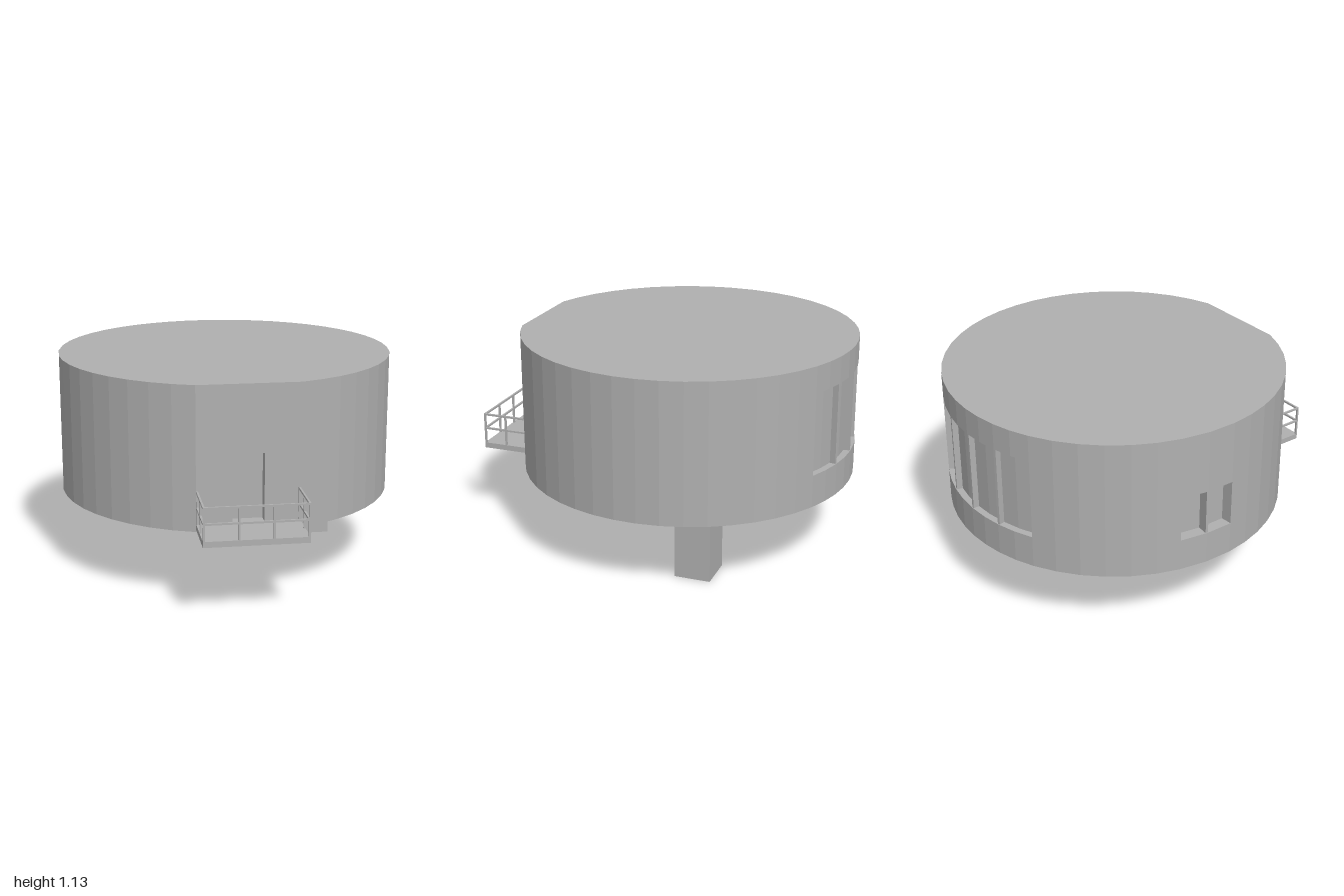
import * as THREE from 'three';

const R = 0.89, CZ = -0.11, Y0 = 0.39, Y1 = 1.13;
const HALF = 0.26, FLAT_Z = CZ + Math.sqrt(R * R - HALF * HALF);

const DOOR = { y0: 0.43, y1: 0.78, depth: 0.06 };
const WIDE = { y0: 0.56, y1: 0.99, depth: 0.035, mullions: [166.5, 180, 193.5] };
const SMALL = { y0: 0.56, y1: 0.8, depth: 0.06, mullions: [264.5] };

// Angle in degrees from the front towards +x
const polar = (deg, r = R) => {
  const a = THREE.MathUtils.degToRad(deg);
  return [r * Math.sin(a), CZ + r * Math.cos(a)];
};

// Flat-shaded mesh from a list of quads and triangles
function facetMesh(name, faces, material) {
  const pos = [];
  for (const f of faces)
    for (let i = 1; i < f.length - 1; i++) pos.push(...f[0], ...f[i], ...f[i + 1]);
  const g = new THREE.BufferGeometry();
  g.setAttribute('position', new THREE.Float32BufferAttribute(pos, 3));
  g.computeVertexNormals();
  const mesh = new THREE.Mesh(g, material);
  mesh.name = name;
  return mesh;
}

function box(parent, name, material, w, h, d, x, y, z, turn = 0) {
  const mesh = new THREE.Mesh(new THREE.BoxGeometry(w, h, d), material);
  mesh.name = name;
  mesh.position.set(x, y, z);
  mesh.rotation.y = turn;
  parent.add(mesh);
}

// Runs of wall: outer points, matching recessed points, optional opening
function arcRun(from, to, n, opening) {
  const outer = [], inner = [];
  for (let i = 0; i <= n; i++) {
    const a = from + ((to - from) * i) / n;
    outer.push(polar(a));
    inner.push(polar(a, R - (opening ? opening.depth : 0)));
  }
  return { outer, inner, opening };
}

function flatRun(x0, x1, opening) {
  const d = opening ? opening.depth : 0;
  return {
    outer: [[x0, FLAT_Z], [x1, FLAT_Z]],
    inner: [[x0, FLAT_Z - d], [x1, FLAT_Z - d]],
    opening,
  };
}

function buildDrum(material) {
  const group = new THREE.Group();
  group.name = 'drum';
  const a0 = THREE.MathUtils.radToDeg(Math.asin(HALF / R));
  const runs = [
    arcRun(a0, 153, 18),
    arcRun(153, 207, 8, WIDE),
    arcRun(207, 255, 6),
    arcRun(255, 274, 2, SMALL),
    arcRun(274, 360 - a0, 9),
    flatRun(-HALF, -0.08),
    flatRun(-0.08, 0.08, DOOR),
    flatRun(0.08, HALF),
  ];
  const wall = [], roof = [], underside = [], door = [], panes = [];
  const at = ([x, z], y) => [x, y, z];
  const upright = (p, q, lo, hi) => [at(p, lo), at(q, lo), at(q, hi), at(p, hi)];

  for (const { outer, inner, opening } of runs) {
    const n = outer.length - 1;
    for (let i = 0; i < n; i++) {
      const p = outer[i], q = outer[i + 1];
      roof.push([[0, Y1, CZ], at(p, Y1), at(q, Y1)]);
      underside.push([[0, Y0, CZ], at(q, Y0), at(p, Y0)]);
      if (!opening) {
        wall.push(upright(p, q, Y0, Y1));
        continue;
      }
      // Wall below and above, sill, head and recessed face
      const { y0, y1 } = opening, pi = inner[i], qi = inner[i + 1];
      wall.push(upright(p, q, Y0, y0), upright(p, q, y1, Y1));
      wall.push([at(p, y0), at(q, y0), at(qi, y0), at(pi, y0)]);
      wall.push([at(pi, y1), at(qi, y1), at(q, y1), at(p, y1)]);
      (opening === DOOR ? door : panes).push(upright(pi, qi, y0, y1));
    }
    if (opening) {
      // Jambs
      wall.push(upright(outer[0], inner[0], opening.y0, opening.y1));
      wall.push(upright(inner[n], outer[n], opening.y0, opening.y1));
    }
  }
  group.add(
    facetMesh('wall', wall, material),
    facetMesh('roof', roof, material),
    facetMesh('underside', underside, material),
    facetMesh('door', door, material),
    facetMesh('windowPanes', panes, material),
  );

  // Window mullions
  for (const { y0, y1, depth, mullions } of [WIDE, SMALL])
    for (const deg of mullions) {
      const [x, z] = polar(deg, R - depth / 2 - 0.004);
      box(group, 'mullion', material, 0.014, y1 - y0, depth, x, (y0 + y1) / 2, z,
        THREE.MathUtils.degToRad(deg));
    }
  return group;
}

function buildBalcony(material) {
  const group = new THREE.Group();
  group.name = 'balcony';
  const depth = 1 - FLAT_Z, midZ = (1 + FLAT_Z) / 2;
  const t = 0.01, ex = HALF - t / 2, ez = 1 - t / 2;
  box(group, 'balconyFloor', material, 2 * HALF, 0.03, depth, 0, 0.415, midZ);

  // Front and side rails
  for (const y of [0.595, 0.515]) {
    box(group, 'frontRail', material, 2 * HALF, t, t, 0, y, ez);
    for (const s of [-1, 1])
      box(group, 'sideRail', material, t, t, depth, s * ex, y, midZ);
  }
  // Posts
  const post = (x, z) => box(group, 'railPost', material, t, 0.17, t, x, 0.515, z);
  for (const x of [-ex, -ex / 3, ex / 3, ex]) post(x, ez);
  for (const s of [-1, 1])
    for (const z of [midZ, FLAT_Z + t / 2]) post(s * ex, z);
  return group;
}

export function createModel() {
  const grey = new THREE.MeshStandardMaterial({ color: 0xb0b0b0 });
  grey.name = 'plain grey';
  const model = new THREE.Group();
  model.name = 'roundHouse';
  model.add(buildDrum(grey), buildBalcony(grey));
  // Supporting pillar
  box(model, 'pillar', grey, 0.2, Y0, 0.19, 0.53, Y0 / 2, -0.35);
  return model;
}
